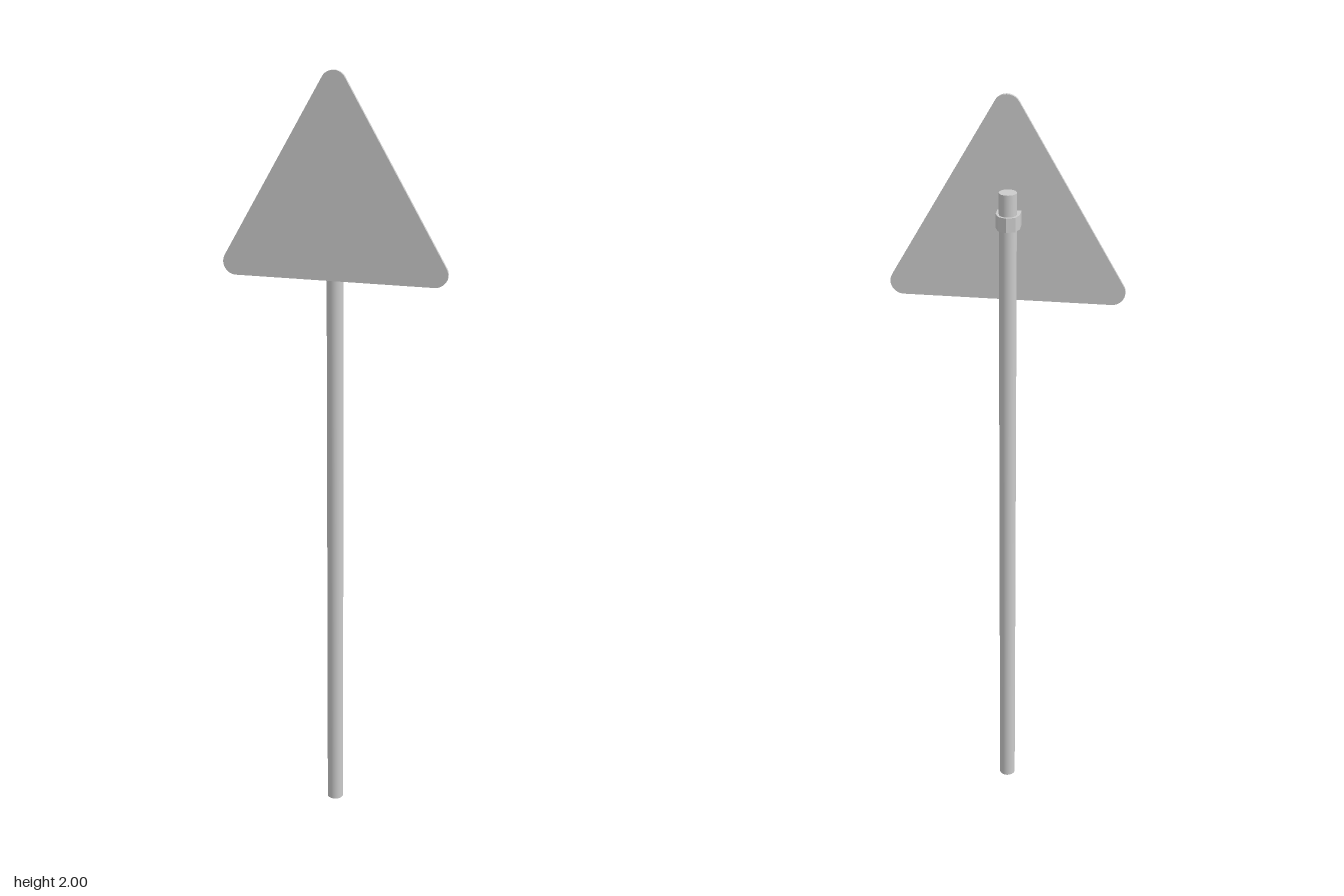
import * as THREE from 'three';
import { toCreasedNormals } from 'three/addons/utils/BufferGeometryUtils.js';

const POLE_X = -0.006, POLE_Z = -0.005;

export function createModel() {
  const group = new THREE.Group();
  const material = new THREE.MeshStandardMaterial({ color: 0xcccccc });
  const add = (name, geometry) => {
    const mesh = new THREE.Mesh(geometry, material);
    mesh.name = name;
    group.add(mesh);
    return mesh;
  };

  // Round upright pole with flat caps
  const poleHeight = 1.775;
  add('pole', new THREE.CylinderGeometry(0.0215, 0.0215, poleHeight, 32))
    .position.set(POLE_X, poleHeight / 2, POLE_Z);

  // Thin triangular plate with rounded corners
  const r = 0.033, halfWidth = 0.257, bottom = 1.49, top = 2;
  const corners = [[halfWidth, bottom + r], [0, top - r], [-halfWidth, bottom + r]];
  const plate = new THREE.Shape();
  corners.forEach(([x, y], i) => {
    const start = -Math.PI / 2 + (i * 2 * Math.PI) / 3;
    plate.absarc(x, y, r, start, start + (2 * Math.PI) / 3, false);
  });
  plate.closePath();
  const plateGeometry = new THREE.ExtrudeGeometry(plate, {
    depth: 0.008, bevelEnabled: false, curveSegments: 10,
  });
  add('signPlate', toCreasedNormals(plateGeometry, 0.6)).position.z = 0.023;

  // Faceted clamp around the pole, reaching forward to the plate
  const clampRadius = 0.029, reach = 0.028;
  const outline = [new THREE.Vector2(-clampRadius, -reach), new THREE.Vector2(clampRadius, -reach)];
  for (let i = 0; i <= 4; i++) {
    const a = (i * Math.PI) / 4;
    outline.push(new THREE.Vector2(Math.cos(a) * clampRadius, Math.sin(a) * clampRadius));
  }
  const clampGeometry = new THREE.ExtrudeGeometry(new THREE.Shape(outline), {
    depth: 0.036, bevelEnabled: false,
  });
  clampGeometry.rotateX(-Math.PI / 2);
  add('clamp', clampGeometry).position.set(POLE_X, 1.685, POLE_Z);

  return group;
}
